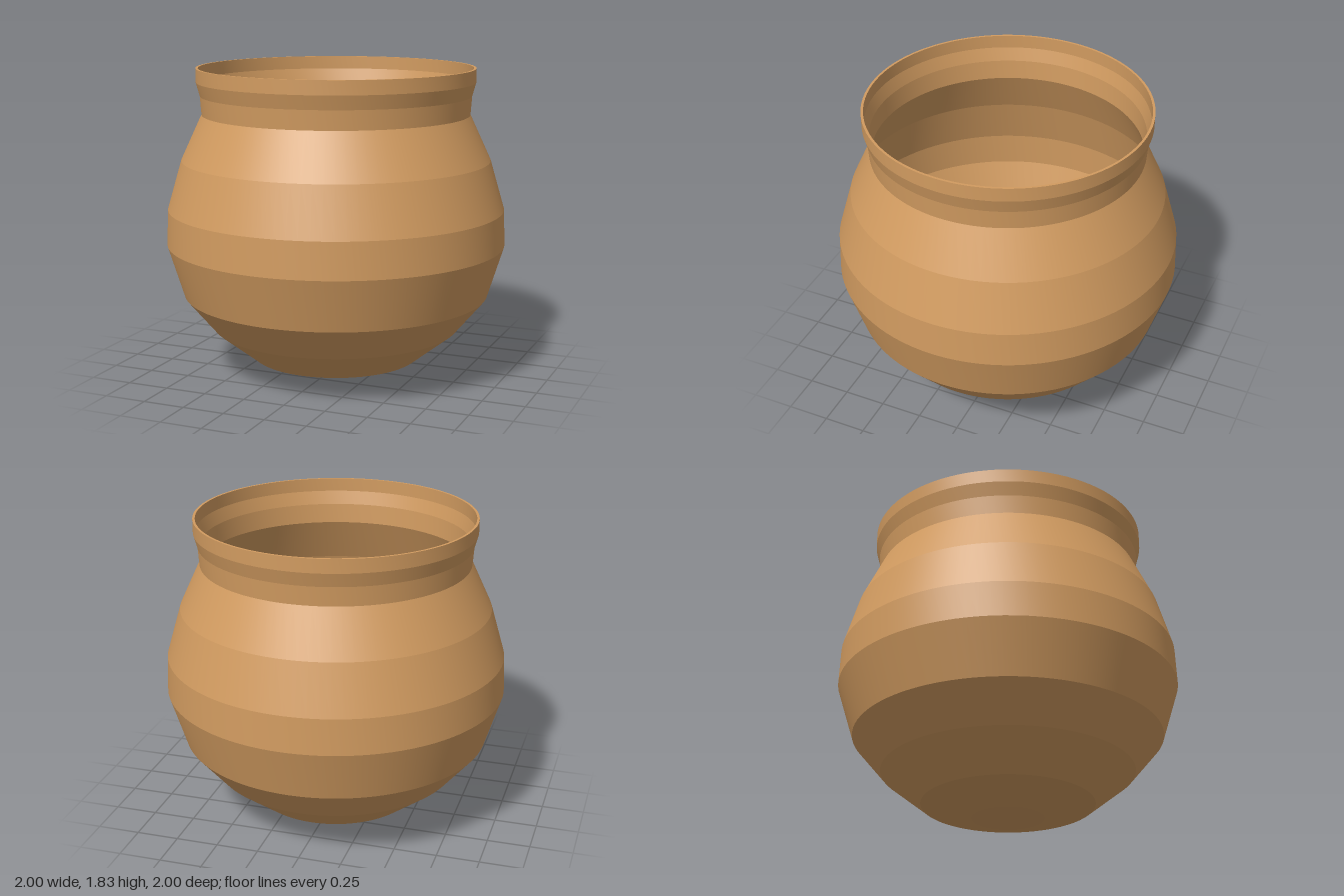
import * as THREE from 'three';
import { toCreasedNormals } from 'three/addons/utils/BufferGeometryUtils.js';

const SEGMENTS = 96;
const WALL = 0.014;

export function createModel() {
  const clay = new THREE.MeshStandardMaterial({ color: 0xd19b60 });
  clay.name = 'clay';
  const pot = new THREE.Group();
  pot.name = 'pot';

  // Spun part: smooth around the axis, crisp between the bands
  const spin = (name, points) => {
    const lathe = new THREE.LatheGeometry(points, SEGMENTS);
    const mesh = new THREE.Mesh(toCreasedNormals(lathe, 0.085), clay);
    mesh.name = name;
    pot.add(mesh);
  };

  // Outer profile from the base centre up to the lip
  const outer = [
    [0, 0.005], [0.21, 0.02], [0.5, 0.1], [0.735, 0.287], [0.905, 0.49],
    [1, 0.797], [0.992, 1.007], [0.908, 1.295], [0.785, 1.56],
    [0.793, 1.67], [0.815, 1.75], [0.815, 1.83],
  ].map(([r, y]) => new THREE.Vector2(r, y));

  // Inner profile: the outer one moved inwards by the wall thickness
  const last = outer.length - 1;
  const inner = outer.map((p, i) => {
    const a = outer[Math.max(i - 1, 0)], b = outer[Math.min(i + 1, last)];
    const t = b.clone().sub(a).normalize();
    return new THREE.Vector2(
      i === 0 ? 0 : p.x - t.y * WALL,
      i === last ? p.y : p.y + t.x * WALL);
  });

  spin('outerWall', outer);
  spin('rim', [outer[last], inner[last]]);
  spin('innerWall', inner.slice().reverse());
  return pot;
}
